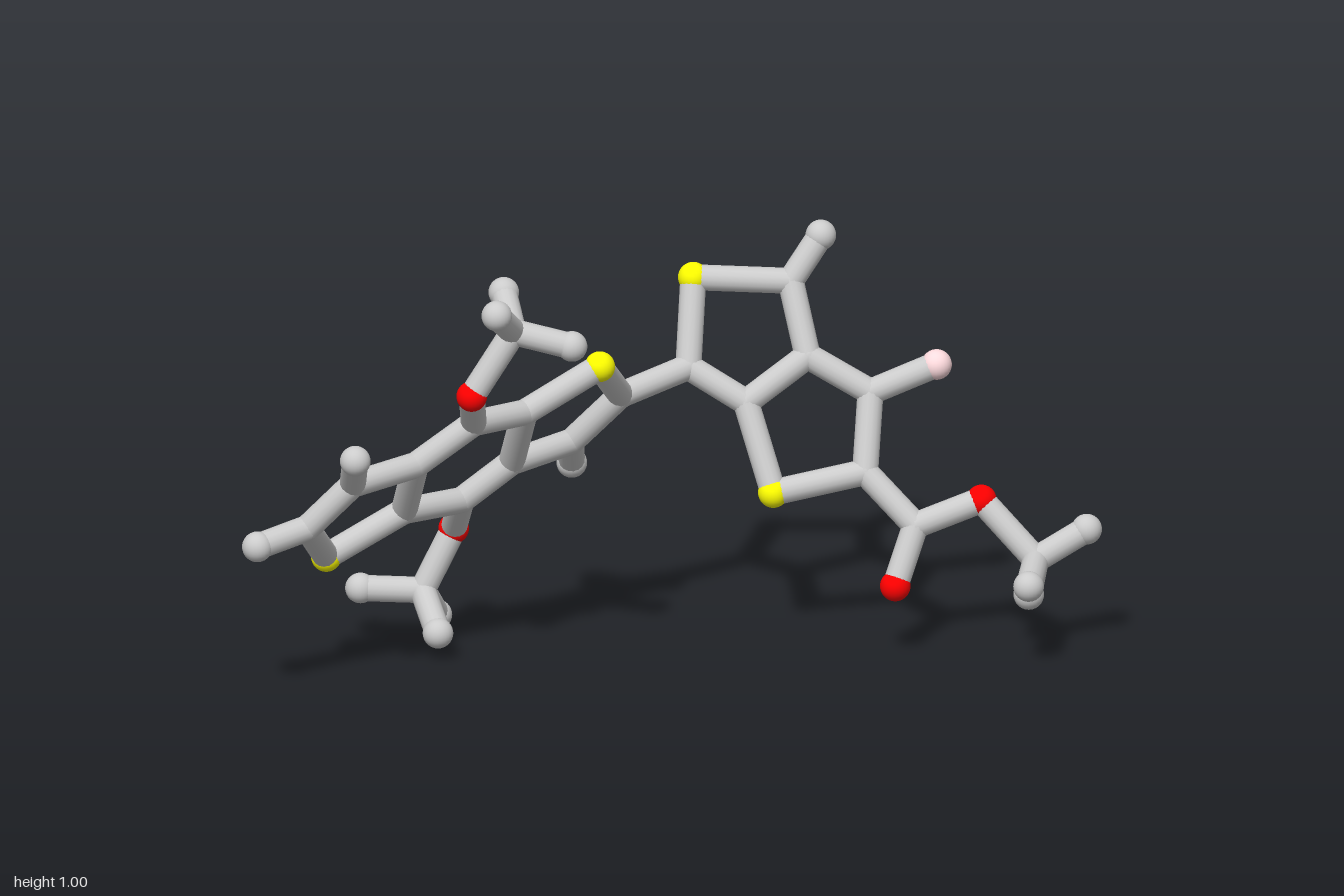
import * as THREE from 'three';

const BOND_R = 0.03, ATOM_R = 0.035;
const paint = (color) => new THREE.MeshStandardMaterial({ color });
const grey = paint(0xcccccc);

// element: [name, material, radius]; inner carbons only round off the bond joints
const ELEMENTS = {
  C: ['carbonJoint', grey, BOND_R],
  H: ['hydrogenBall', grey, ATOM_R],
  S: ['sulfurBall', paint(0xffff00), ATOM_R],
  O: ['oxygenBall', paint(0xff0000), ATOM_R],
  F: ['fluorineBall', paint(0xffdcdf), ATOM_R],
};

// Each fragment: atoms by label (first letter = element) and chains of bonded labels
const FRAGMENTS = {
  fusedThreeRingCore: {
    atoms: {
      S1: [-0.135, 0.722, 0.027], C2: [-0.05, 0.6, -0.115], C3: [-0.15, 0.475, -0.18],
      H3: [-0.127, 0.394, -0.267], C4: [-0.31, 0.465, -0.1], C5: [-0.31, 0.625, 0.022],
      C6: [-0.42, 0.373, -0.13], C7: [-0.45, 0.638, 0.105], C8: [-0.575, 0.387, -0.048],
      C9: [-0.58, 0.54, 0.08], S2: [-0.757, 0.292, -0.05], C10: [-0.745, 0.53, 0.15],
      H10: [-0.765, 0.622, 0.253], C11: [-0.842, 0.42, 0.11], H11: [-0.968, 0.398, 0.147],
    },
    chains: ['S1 C2 C3 C4 C5 S1', 'C4 C6 C8 C9 C7 C5', 'C8 S2 C11 C10 C9', 'C3 H3', 'C10 H10', 'C11 H11'],
  },
  upperMethoxyArm: {
    atoms: {
      C0: [-0.45, 0.638, 0.105], O1: [-0.485, 0.745, 0.225], C1: [-0.388, 0.893, 0.228],
      H1: [-0.45, 0.967, 0.32], H2: [-0.382, 0.95, 0.114], H3: [-0.262, 0.863, 0.274],
    },
    chains: ['C0 O1 C1 H1', 'C1 H2', 'C1 H3'],
  },
  lowerMethoxyArm: {
    atoms: {
      C0: [-0.42, 0.373, -0.13], O1: [-0.41, 0.267, -0.243], C1: [-0.484, 0.127, -0.237],
      H1: [-0.62, 0.13, -0.277], H2: [-0.48, 0.065, -0.11], H3: [-0.43, 0.036, -0.32],
    },
    chains: ['C0 O1 C1 H1', 'C1 H2', 'C1 H3'],
  },
  fusedTwoRingUnit: {
    atoms: {
      C0: [-0.05, 0.6, -0.115], C1: [0.122, 0.635, -0.17], S1: [0.153, 0.822, -0.248],
      C2: [0.368, 0.813, -0.195], H2: [0.442, 0.913, -0.208], C3: [0.388, 0.657, -0.117],
      C4: [0.242, 0.56, -0.11], S2: [0.283, 0.37, -0.018], C5: [0.492, 0.41, 0.007],
      C6: [0.522, 0.577, -0.063], F6: [0.67, 0.64, -0.035],
    },
    chains: ['C0 C1 S1 C2 C3 C4 C1', 'C4 S2 C5 C6 C3', 'C2 H2', 'C6 F6'],
  },
  esterArm: {
    atoms: {
      C0: [0.492, 0.41, 0.007], C1: [0.59, 0.3, 0.087], O1: [0.533, 0.172, 0.125],
      O2: [0.74, 0.355, 0.105], C2: [0.847, 0.23, 0.187], H1: [0.965, 0.295, 0.192],
      H2: [0.8, 0.209, 0.307], H3: [0.848, 0.123, 0.117],
    },
    chains: ['C0 C1 O2 C2 H1', 'C1 O1', 'C2 H2', 'C2 H3'],
  },
};

// Ball for one atom
function makeAtom(label, position) {
  const [name, material, radius] = ELEMENTS[label[0]];
  const ball = new THREE.Mesh(new THREE.SphereGeometry(radius, 24, 16), material);
  ball.name = name;
  ball.position.copy(position);
  return ball;
}

// Straight rod between two atom centres
function makeBond(a, b) {
  const dir = b.clone().sub(a);
  const rod = new THREE.Mesh(new THREE.CylinderGeometry(BOND_R, BOND_R, dir.length(), 16, 1, true), grey);
  rod.name = 'bondRod';
  rod.position.copy(a).add(b).multiplyScalar(0.5);
  rod.quaternion.setFromUnitVectors(new THREE.Vector3(0, 1, 0), dir.normalize());
  return rod;
}

export function createModel() {
  const model = new THREE.Group();
  model.name = 'stickMolecule';
  for (const [name, { atoms, chains }] of Object.entries(FRAGMENTS)) {
    const part = new THREE.Group();
    part.name = name;
    const at = {};
    for (const [label, p] of Object.entries(atoms)) {
      at[label] = new THREE.Vector3(...p);
      // C0 is the joint already built by the neighbouring fragment
      if (label !== 'C0') part.add(makeAtom(label, at[label]));
    }
    for (const chain of chains) {
      const labels = chain.split(' ');
      for (let i = 1; i < labels.length; i++) part.add(makeBond(at[labels[i - 1]], at[labels[i]]));
    }
    model.add(part);
  }
  return model;
}
